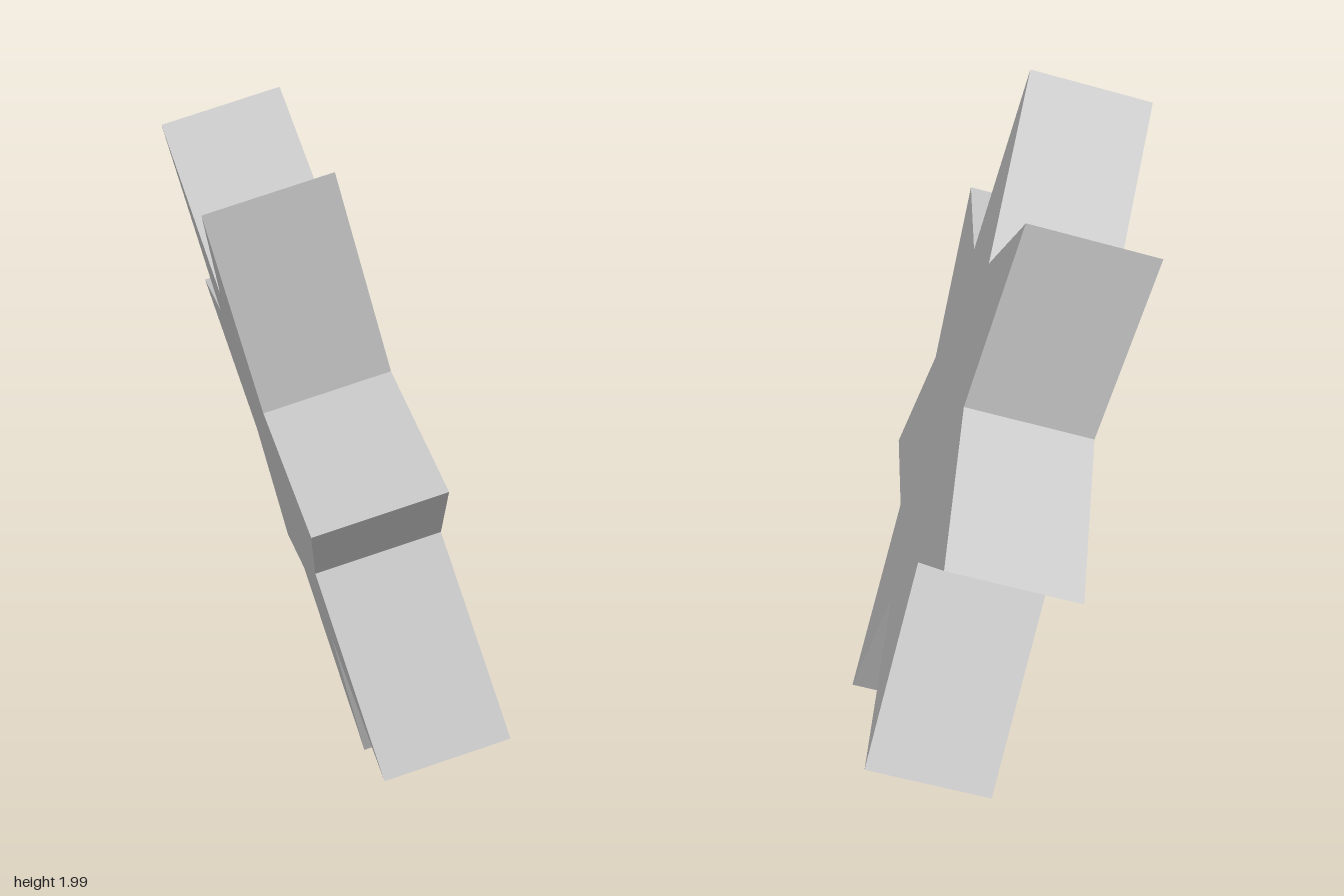
import * as THREE from 'three';

const POINTS = 7;
const OUTER = 1.03;
const INNER = 0.539;
const DEPTH = 0.362;

// Regular star outline with its first tip on +x
function starShape() {
  const pts = [];
  for (let i = 0; i < POINTS * 2; i++) {
    const r = i % 2 ? INNER : OUTER;
    const a = (i * Math.PI) / POINTS;
    pts.push(new THREE.Vector2(r * Math.cos(a), r * Math.sin(a)));
  }
  return new THREE.Shape(pts);
}

export function createModel() {
  const group = new THREE.Group();
  group.name = 'tiltedStar';

  // Thick star plate, centred through its depth
  const geometry = new THREE.ExtrudeGeometry(starShape(), { depth: DEPTH, bevelEnabled: false });
  geometry.translate(0, 0, -DEPTH / 2);
  const material = new THREE.MeshStandardMaterial({ color: 0xcccccc, flatShading: true });
  const star = new THREE.Mesh(geometry, material);
  star.name = 'star';

  // Tilt: one tip points along tipAxis, the flat faces look along faceAxis
  const tipAxis = new THREE.Vector3(0.518, 0.185, 0.835).normalize();
  const faceAxis = new THREE.Vector3(0.79, 0.275, -0.55);
  const sideAxis = new THREE.Vector3().crossVectors(faceAxis, tipAxis).normalize();
  faceAxis.crossVectors(tipAxis, sideAxis);
  star.quaternion.setFromRotationMatrix(new THREE.Matrix4().makeBasis(tipAxis, sideAxis, faceAxis));
  star.position.set(0.013, 1.044, -0.04);

  group.add(star);
  return group;
}
